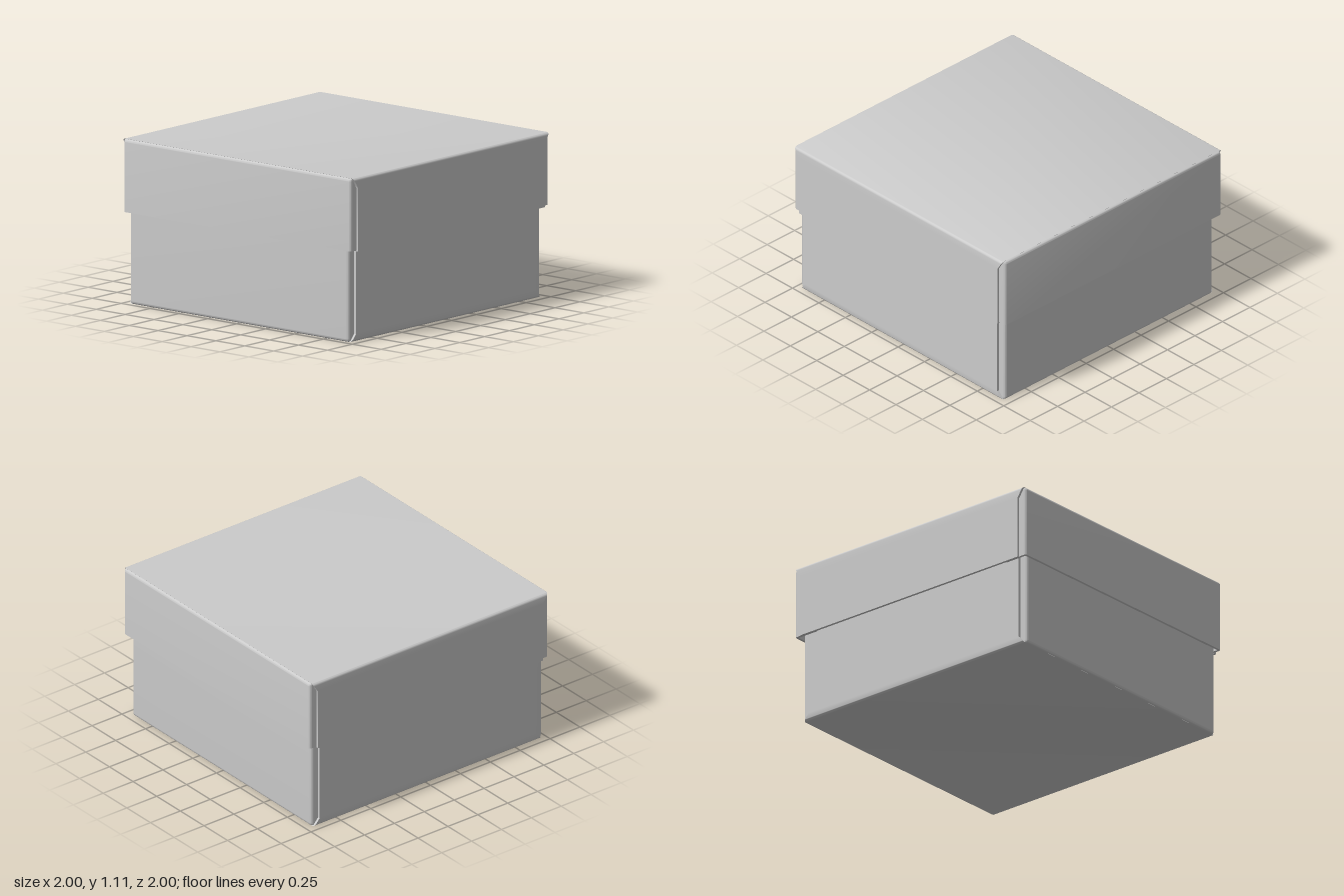
import * as THREE from 'three';
import { toCreasedNormals } from 'three/addons/utils/BufferGeometryUtils.js';

const T = 0.018; // card thickness
const R = 0.02; // fold radius
const material = new THREE.MeshStandardMaterial({ color: 0xcccccc });

// Quarter-round fold, as points with their outward normals
function fold(cx, cy, from, to, steps = 6) {
  return Array.from({ length: steps + 1 }, (_, i) => {
    const a = THREE.MathUtils.lerp(from, to, i / steps);
    const n = [Math.cos(a), Math.sin(a)];
    return { p: [cx + R * n[0], cy + R * n[1]], n };
  });
}

// Sheet of card: a path swept across rows, given thickness inwards.
// place(a, b, row) turns a path point and a row into a position.
function sheet(name, path, rows, place) {
  const rings = path.map(({ p, n }) => {
    const outer = rows.map((w) => place(p[0], p[1], w));
    const inner = rows.map((w) => place(p[0] - T * n[0], p[1] - T * n[1], w));
    return [...outer, ...inner.reverse()];
  });
  const pos = [];
  const quad = (a, b, c, d) => [a, b, c, a, c, d].forEach((v) => pos.push(...v));
  const count = rows.length * 2;
  for (let i = 0; i < rings.length - 1; i++) {
    for (let j = 0; j < count; j++) {
      const k = (j + 1) % count;
      quad(rings[i][j], rings[i + 1][j], rings[i + 1][k], rings[i][k]);
    }
  }
  // Cut edges at both ends of the path
  const first = rings[0], last = rings[rings.length - 1];
  for (let j = 0; j < rows.length - 1; j++) {
    const m = count - 1 - j;
    quad(first[j], first[j + 1], first[m - 1], first[m]);
    quad(last[m], last[m - 1], last[j + 1], last[j]);
  }
  const geometry = new THREE.BufferGeometry();
  geometry.setAttribute('position', new THREE.Float32BufferAttribute(pos, 3));
  const mesh = new THREE.Mesh(toCreasedNormals(geometry, 0.6), material);
  mesh.name = name;
  return mesh;
}

// Open folded tray standing on y = 0
function tray(name, hx, hz, height, panelHalf, cut) {
  const group = new THREE.Group();
  group.name = name;

  // Front wall, floor and back wall in one strip, mitred towards the floor
  const wall = (s, y) => ({ p: [s * hz, y], n: [s, 0] });
  const strip = [
    wall(1, height), wall(1, cut),
    ...fold(hz - R, R, 0, -Math.PI / 2),
    ...fold(-hz + R, R, -Math.PI / 2, -Math.PI),
    wall(-1, cut), wall(-1, height),
  ];
  const halfWidth = (y) =>
    THREE.MathUtils.lerp(hx - R * 0.7, panelHalf, THREE.MathUtils.clamp(y / cut, 0, 1));
  group.add(sheet('frontFloorBack', strip, [-1, 1], (z, y, s) => [s * halfWidth(y), y, z]));

  // Side walls with corner tabs tucked behind the front and back walls
  const tz = hz - T + 0.002;
  const tabX = panelHalf - 0.12;
  const side = [
    { p: [tabX, tz], n: [0, 1] },
    ...fold(hx - R, tz - R, Math.PI / 2, 0),
    ...fold(hx - R, -tz + R, 0, -Math.PI / 2),
    { p: [tabX, -tz], n: [0, -1] },
  ];
  const rows = [0, 1, 2, 3, 4, 5, 6].map((i) => 0.001 + R * (1 - Math.cos((i * Math.PI) / 12)));
  rows.push(height - 0.006);
  const inset = (y) => (y >= R ? 0 : R - Math.sqrt(R * R - (R - y) ** 2));
  for (const [label, turn] of [['leftSide', 0], ['rightSide', Math.PI]]) {
    const mesh = sheet(label, side, rows, (x, z, y) => [x - inset(y), y, z]);
    mesh.rotation.y = turn;
    group.add(mesh);
  }
  return group;
}

export function createModel() {
  const model = new THREE.Group();
  model.name = 'liddedBox';

  const base = tray('base', 0.966, 0.962, 1.07, 0.908, 0.05);
  base.position.x = -0.01;

  // The lid is the same kind of tray, turned over
  const lid = tray('lid', 0.998, 1, 0.495, 0.94, 0.07);
  lid.rotation.x = Math.PI;
  lid.position.y = 1.105;

  model.add(base, lid);
  return model;
}
